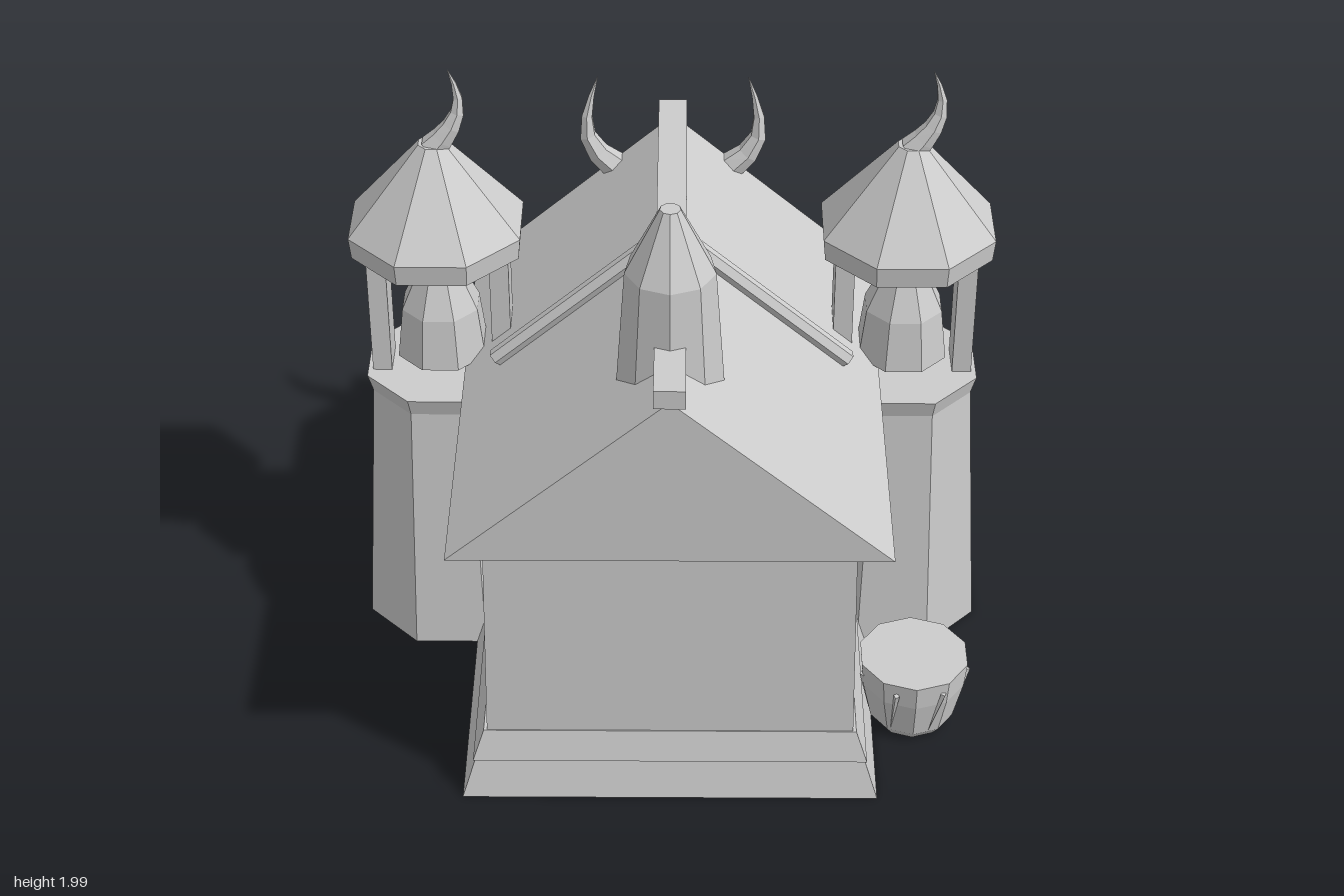
import * as THREE from 'three';
import { ConvexGeometry } from 'three/addons/geometries/ConvexGeometry.js';

export function createModel() {
  const model = new THREE.Group();
  // Double-sided because plinth, towers, steps and bowls are open underneath
  const stone = new THREE.MeshStandardMaterial({ color: 0xcccccc, side: THREE.DoubleSide });
  stone.name = 'pale grey';

  // Faceted mesh added to a parent
  function add(name, geometry, parent = model) {
    const flat = geometry.index ? geometry.toNonIndexed() : geometry;
    flat.computeVertexNormals();
    const mesh = new THREE.Mesh(flat, stone);
    mesh.name = name;
    parent.add(mesh);
    return mesh;
  }
  const group = (name, x = 0, y = 0, z = 0) => {
    const g = new THREE.Group();
    g.name = name;
    g.position.set(x, y, z);
    model.add(g);
    return g;
  };
  // Solid hull around a few points
  const hull = points => new ConvexGeometry(points.map(q => new THREE.Vector3(...q)));
  // Box given by its limits on each axis
  const box = (x0, x1, y0, y1, z0, z1) =>
    new THREE.BoxGeometry(x1 - x0, y1 - y0, z1 - z0)
      .translate((x0 + x1) / 2, (y0 + y1) / 2, (z0 + z1) / 2);
  // Box whose bottom and top differ: [half width, back z, front z]
  function taper(y0, y1, low, high) {
    const g = new THREE.BoxGeometry(2, 2, 2);
    const p = g.attributes.position;
    for (let i = 0; i < p.count; i++) {
      const up = p.getY(i) > 0, [w, back, front] = up ? high : low;
      p.setXYZ(i, p.getX(i) * w, up ? y1 : y0, p.getZ(i) > 0 ? front : back);
    }
    return g;
  }
  // Remove the underside of a box
  function hollow(g) {
    const index = Array.from(g.index.array);
    index.splice(18, 6);
    g.setIndex(index);
    return g;
  }
  // Many-sided turned solid from [radius, y] pairs, bottom to top
  const turned = (profile, sides, start = 0) => new THREE.LatheGeometry(
    profile.map(([r, y]) => new THREE.Vector2(r, y)), sides, start);
  // Curved horn that narrows to a point
  function horn(points, radius) {
    const curve = new THREE.CatmullRomCurve3(points.map(q => new THREE.Vector3(...q)));
    const n = 6, sides = 6;
    const g = new THREE.TubeGeometry(curve, n, radius, sides);
    const p = g.attributes.position, v = new THREE.Vector3();
    for (let i = 0; i < p.count; i++) {
      const t = Math.floor(i / (sides + 1)) / n, c = curve.getPointAt(t);
      v.fromBufferAttribute(p, i).sub(c).multiplyScalar(1 - t * 0.98).add(c);
      p.setXYZ(i, v.x, v.y, v.z);
    }
    return g;
  }

  // House body
  add('plinth', hollow(taper(0, 0.135, [0.64, -0.645, 0.85], [0.597, -0.612, 0.818])));
  add('wallFoot', taper(0.132, 0.235, [0.605, -0.622, 0.828], [0.57, -0.6, 0.803]));
  add('walls', taper(0.23, 1.0, [0.56, -0.55, 0.8], [0.548, -0.535, 0.78]));
  const gable = new THREE.Shape([[-0.65, 0.985], [0.65, 0.985], [0, 1.55]]
    .map(q => new THREE.Vector2(...q)));
  add('roof', new THREE.ExtrudeGeometry(gable, { depth: 1.555, bevelEnabled: false })
    .translate(0, 0, -0.657));
  add('ridgeBeam', box(-0.045, 0.045, 1.54, 1.6, -0.67, 0.913));

  // Chimney
  add('chimney', turned([[0.166, 1.3], [0.132, 1.78], [0.03, 1.98], [0, 1.98]], 9)
    .translate(0, 0, 0.575));

  for (const s of [-1, 1]) {
    // Rafter pole and side window
    const pole = add('roofPole', new THREE.CylinderGeometry(0.028, 0.028, 0.62, 6));
    pole.position.set(s * 0.31, 1.31, 0.063);
    pole.rotation.z = s * (Math.PI / 2 - 0.715);
    add('window', box(s * 0.56 - 0.016, s * 0.56 + 0.016, 0.41, 0.61, 0.3, 0.43));

    // Bell tower
    const tower = group('bellTower', s * 0.725, 0, -0.154);
    const turn = Math.PI / 8;
    add('towerBase', turned([[0.299, 0], [0.238, 0.89], [0.255, 0.95], [0, 0.95]], 8, turn), tower);
    add('towerRoof', turned([[0.277, 1.4], [0.284, 1.47], [0.045, 1.75], [0, 1.75]], 8, turn), tower);
    for (const side of [-1, 1])
      add('towerPost', box(side * 0.19 - 0.03, side * 0.19 + 0.03, 0.94, 1.48, -0.063, 0.063), tower);
    add('bell', turned([[0.148, 1], [0.127, 1.17], [0.075, 1.285], [0.045, 1.315], [0, 1.315]], 8, turn), tower);
    add('bellStem', new THREE.CylinderGeometry(0.037, 0.037, 0.36, 8).translate(0, 1.48, 0), tower);
    add('towerHorn', horn([[0, 1.73, 0], [0.05, 1.79, 0], [0.082, 1.86, -0.008],
      [0.08, 1.92, -0.014], [0.055, 1.99, -0.02]], 0.045), tower);

    // Brazier beside the steps
    const brazier = group('brazier', s * 0.53, 0, -0.748);
    add('brazierFoot', turned([[0.08, 0], [0.092, 0.05], [0, 0.052]], 9), brazier);
    add('bowl', turned([[0.07, 0.045], [0.07, 0.08], [0.131, 0.118], [0.122, 0.128], [0, 0.118]], 9), brazier);
    for (const [x, z, h] of [[-0.035, -0.016, 0.06], [0.035, -0.016, 0.05], [0, 0.04, 0.07]])
      add('flame', new THREE.ConeGeometry(0.017, h, 4).translate(x, 0.12 + h / 2, z), brazier);
  }

  // Back entrance
  const door = group('entrance');
  add('lowerStep', hollow(taper(0, 0.07, [0.355, -0.91, -0.6], [0.345, -0.9, -0.6])), door);
  add('upperStep', hollow(taper(0.065, 0.13, [0.31, -0.8, -0.6], [0.3, -0.79, -0.6])), door);
  add('lintel', taper(0.73, 0.81, [0.282, -0.712, -0.53], [0.262, -0.703, -0.53]), door);
  add('frameTop', box(-0.25, 0.25, 0.67, 0.735, -0.698, -0.53), door);
  for (const s of [-1, 1])
    add('doorJamb', box(s * 0.215 - 0.035, s * 0.215 + 0.035, 0.1, 0.735, -0.7, -0.53), door);
  add('doorPanel', box(-0.19, 0.19, 0.1, 0.68, -0.635, -0.53), door);
  add('doorKnob', box(-0.1, -0.075, 0.385, 0.41, -0.66, -0.63), door);

  // Horned head on the back gable
  const head = group('hornedHead');
  const face = [[0, 1.29, -0.725], [0, 1.17, -0.75]];
  for (const s of [-1, 1])
    face.push([s * 0.11, 1.37, -0.66], [s * 0.11, 1.37, -0.6], [s * 0.2, 1.26, -0.67],
      [s * 0.2, 1.26, -0.6], [s * 0.165, 1.1, -0.67], [s * 0.165, 1.1, -0.6],
      [s * 0.07, 0.9, -0.655], [s * 0.07, 0.9, -0.6], [s * 0.04, 1.12, -0.74]);
  add('face', hull(face), head);
  add('nose', hull([[-0.055, 1.23, -0.72], [0.055, 1.23, -0.72], [0, 1.24, -0.79],
    [-0.04, 1.11, -0.72], [0.04, 1.11, -0.72], [0, 1.11, -0.8]]), head);
  for (const s of [-1, 1]) {
    const eye = add('eye', new THREE.BoxGeometry(0.06, 0.03, 0.03), head);
    eye.position.set(s * 0.1, 1.19, -0.722);
    eye.rotation.z = s * 0.25;
    add('horn', horn([[s * 0.13, 1.34, -0.64], [s * 0.22, 1.4, -0.635], [s * 0.275, 1.49, -0.64],
      [s * 0.27, 1.58, -0.65], [s * 0.24, 1.685, -0.665]], 0.055), head);
  }

  // Drum with fang-shaped strips
  const drum = group('drum', 0.765, 0, 0.463);
  add('drumShell', turned([[0, 0], [0.11, 0], [0.136, 0.035], [0.166, 0.17], [0.174, 0.255], [0, 0.255]], 10), drum);
  for (let i = 0; i < 7; i++) {
    const pivot = new THREE.Group();
    pivot.name = 'fangPivot';
    pivot.rotation.y = (i + 0.5) * Math.PI * 2 / 7;
    drum.add(pivot);
    const fang = add('fang', new THREE.ConeGeometry(0.01, 0.18, 4), pivot);
    fang.position.set(0, 0.13, 0.152);
    fang.rotation.set(Math.PI + 0.19, 0, 0.15);
  }
  return model;
}
